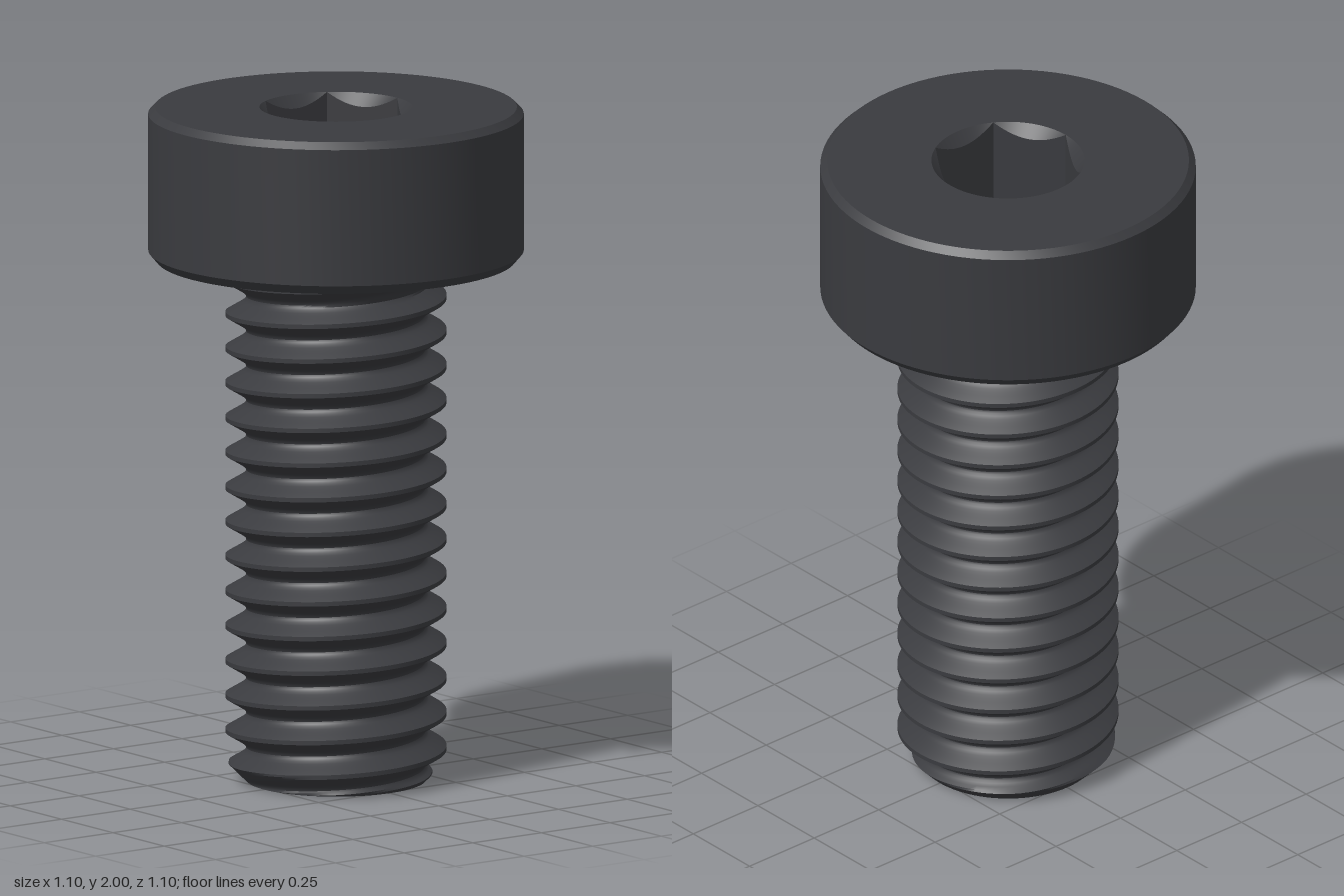
import * as THREE from 'three';
import { toCreasedNormals } from 'three/addons/utils/BufferGeometryUtils.js';

const PITCH = 0.1032, MAJOR = 0.3226, ROOT = 0.26;
const UNDER = 1.548, TOP = 2, HEAD_R = 0.548;
const HEX_FLAT = 0.1935, HEX_CORNER = HEX_FLAT / Math.cos(Math.PI / 6);
const SEGMENTS = 96;

// Keeps edges sharp; enlarged meanwhile so that fine detail is not welded.
function crease(geometry, angle) {
  geometry.scale(100, 100, 100);
  const result = toCreasedNormals(geometry, angle);
  return result.scale(0.01, 0.01, 0.01);
}

// Surface around the y axis: point(angle, row) gives [radius, height].
function wrap(rows, point, angle) {
  const at = (i, j) => {
    const a = (i / SEGMENTS) * Math.PI * 2;
    const [r, y] = point(a, j);
    return new THREE.Vector3(r * Math.cos(a), y, -r * Math.sin(a));
  };
  const pos = [];
  const tri = new THREE.Triangle();
  const add = (a, b, c) => {
    if (tri.set(a, b, c).getArea() < 1e-9) return;
    for (const p of [a, b, c]) pos.push(p.x, p.y, p.z);
  };
  for (let i = 0; i < SEGMENTS; i++) {
    for (let j = 0; j < rows - 1; j++) {
      const a = at(i, j), b = at(i + 1, j), c = at(i + 1, j + 1), d = at(i, j + 1);
      add(a, b, c);
      add(a, c, d);
    }
  }
  const g = new THREE.BufferGeometry();
  g.setAttribute('position', new THREE.Float32BufferAttribute(pos, 3));
  return crease(g, angle);
}

// Radius of the thread at a phase counted in pitches from the crest, with a rounded root.
function threadRadius(phase) {
  const t = Math.abs(phase - Math.round(phase));
  const flank = MAJOR - 0.1787 * (t - 0.0625);
  const rounded = 0.5 * (flank + ROOT + Math.hypot(flank - ROOT, 0.012));
  return Math.min(MAJOR, rounded);
}

// Right-hand thread, trimmed by the end chamfer and running out into the fillet under the head.
function shankGeometry() {
  const perTurn = 16, turns = 19;
  return wrap(perTurn * turns + 1, (a, j) => {
    if (j === 0) return [0, 0];
    const turn = a / (Math.PI * 2);
    const y = THREE.MathUtils.clamp(0.003 + PITCH * (j / perTurn - 2 + turn), 0, UNDER);
    const run = Math.max(0, (y - 1.44) / (UNDER - 1.44));
    const fillet = ROOT + 0.085 * run * run;
    const r = Math.max(threadRadius((y - 0.003) / PITCH - turn), fillet);
    return [Math.min(r, 0.263 + y), y];
  }, 0.6);
}

// Chamfered cylinder, open at the socket.
function headGeometry() {
  const profile = [
    [0.3, UNDER], [0.525, UNDER], [HEAD_R, UNDER + 0.027],
    [HEAD_R, TOP - 0.02], [HEAD_R - 0.02, TOP], [HEX_CORNER, TOP],
  ].map(([r, y]) => new THREE.Vector2(r, y));
  return crease(new THREE.LatheGeometry(profile, SEGMENTS), 0.4);
}

// Hexagonal recess with a conical lead-in and a flat floor.
function socketGeometry() {
  const sector = Math.PI / 3, floor = TOP - 0.29;
  return wrap(4, (a, j) => {
    const hex = HEX_FLAT / Math.cos((a % sector) - sector / 2);
    return [
      [HEX_CORNER, TOP],
      [hex, TOP - (HEX_CORNER - hex) * 1.2],
      [hex, floor],
      [0, floor],
    ][j];
  }, 0.4);
}

export function createModel() {
  const group = new THREE.Group();
  group.name = 'socketHeadScrew';
  const material = new THREE.MeshStandardMaterial({ color: 0x3a3b3f });
  const parts = {
    threadedShank: shankGeometry(),
    head: headGeometry(),
    hexSocket: socketGeometry(),
  };
  for (const [name, geometry] of Object.entries(parts)) {
    const mesh = new THREE.Mesh(geometry, material);
    mesh.name = name;
    group.add(mesh);
  }
  return group;
}
